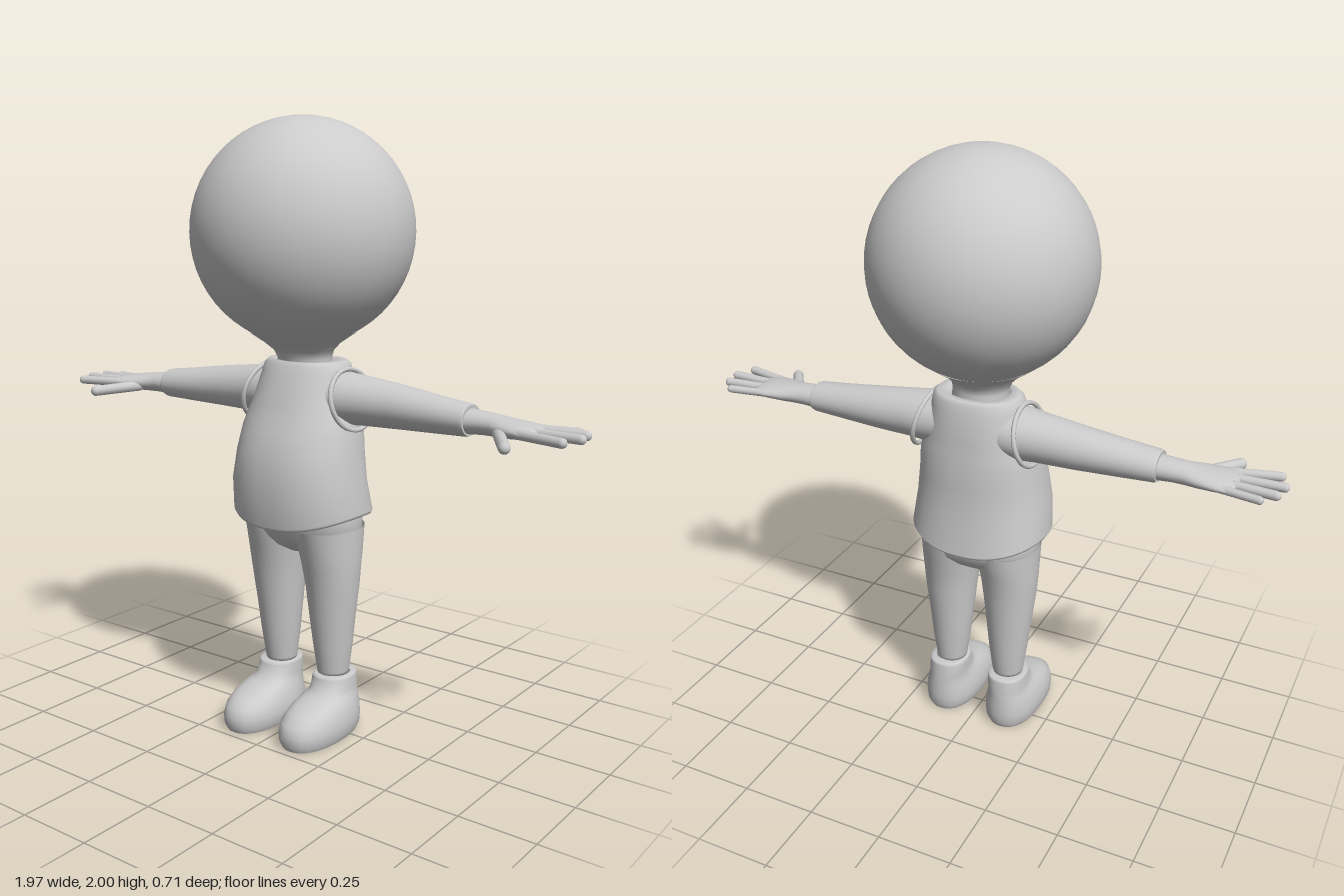
import * as THREE from 'three';

const material = new THREE.MeshStandardMaterial({ color: 0xcccccc, side: THREE.DoubleSide });

// Smooth skin over elliptical rings [position, centreA, centreB, radiusA, radiusB, droop].
// Axis 'y': A = x, B = z. Axis 'x': A = y, B = z. side = -1 mirrors across x.
function loft(name, axis, rings, { side = 1, power = 1, segments = 32 } = {}) {
  const positions = [], index = [];
  const round = v => Math.sign(v) * Math.abs(v) ** power;
  for (const [p, ca, cb, ra, rb, droop = 0] of rings) {
    for (let j = 0; j < segments; j++) {
      const t = j / segments * Math.PI * 2;
      const a = ca + ra * round(Math.cos(t)), b = cb + rb * round(Math.sin(t));
      const q = p - droop * Math.sin(t) ** 2;
      if (axis === 'y') positions.push(side * a, q, b);
      else positions.push(side * q, a, b);
    }
  }
  const flip = (axis === 'x') !== (side < 0);
  for (let i = 0; i < rings.length - 1; i++) {
    for (let j = 0; j < segments; j++) {
      const k = (j + 1) % segments;
      const a = i * segments + j, b = i * segments + k, c = a + segments, d = b + segments;
      if (flip) index.push(a, b, c, b, d, c);
      else index.push(a, c, b, b, c, d);
    }
  }
  const geometry = new THREE.BufferGeometry();
  geometry.setAttribute('position', new THREE.Float32BufferAttribute(positions, 3));
  geometry.setIndex(index);
  geometry.computeVertexNormals();
  const mesh = new THREE.Mesh(geometry, material);
  mesh.name = name;
  return mesh;
}

// Rounded finger between two points
function finger(name, from, to, radius, side) {
  const a = new THREE.Vector3(...from), b = new THREE.Vector3(...to);
  a.x *= side;
  b.x *= side;
  const dir = b.clone().sub(a);
  const mesh = new THREE.Mesh(new THREE.CapsuleGeometry(radius, dir.length() - radius, 5, 12), material);
  mesh.position.copy(a).add(b).multiplyScalar(0.5);
  mesh.quaternion.setFromUnitVectors(new THREE.Vector3(0, 1, 0), dir.normalize());
  mesh.name = name;
  return mesh;
}

function createArm(side) {
  const arm = new THREE.Group();
  arm.name = side > 0 ? 'leftArm' : 'rightArm';
  // Sleeve, with a cuff turned inward
  arm.add(loft('sleeve', 'x', [
    [0.08, 1.125, -0.028, 0.085, 0.1], [0.16, 1.122, -0.03, 0.084, 0.098],
    [0.22, 1.121, -0.033, 0.079, 0.086], [0.35, 1.115, -0.035, 0.07, 0.075],
    [0.48, 1.108, -0.03, 0.059, 0.067], [0.595, 1.103, -0.025, 0.05, 0.061],
    [0.605, 1.103, -0.025, 0.047, 0.058], [0.605, 1.103, -0.025, 0.047, 0.058],
    [0.605, 1.103, -0.025, 0.035, 0.045],
  ], { side }));
  // Armhole rim, leaning inward toward the shoulder
  const points = [];
  for (let i = 0; i < 32; i++) {
    const t = i / 32 * Math.PI * 2;
    const y = 1.12 + 0.095 * Math.sin(t);
    points.push(new THREE.Vector3(side * (0.176 - 0.023 * Math.sin(t)), y, -0.027 + 0.114 * Math.cos(t)));
  }
  const rim = new THREE.Mesh(new THREE.TubeGeometry(
    new THREE.CatmullRomCurve3(points, true), 48, 0.008, 8, true), material);
  rim.name = 'armholeRim';
  arm.add(rim);
  // Wrist and palm
  arm.add(loft('hand', 'x', [
    [0.58, 1.1, -0.025, 0.04, 0.05], [0.65, 1.1, -0.025, 0.035, 0.047],
    [0.69, 1.098, -0.023, 0.033, 0.05], [0.73, 1.096, -0.018, 0.03, 0.064],
    [0.78, 1.095, -0.015, 0.025, 0.073], [0.82, 1.094, -0.012, 0.02, 0.077],
    [0.84, 1.093, -0.012, 0.013, 0.07], [0.846, 1.093, -0.012, 0, 0],
  ], { side }));
  const fingers = [
    ['littleFinger', [0.79, 1.094, -0.07], [0.928, 1.094, -0.092], 0.013],
    ['ringFinger', [0.8, 1.096, -0.035], [0.967, 1.096, -0.047], 0.015],
    ['middleFinger', [0.8, 1.096, 0.006], [0.978, 1.096, 0.014], 0.015],
    ['indexFinger', [0.79, 1.094, 0.043], [0.952, 1.094, 0.083], 0.015],
    ['thumb', [0.715, 1.086, 0.015], [0.812, 1.074, 0.158], 0.018],
  ];
  for (const [name, from, to, r] of fingers) arm.add(finger(name, from, to, r, side));
  return arm;
}

function createLeg(side) {
  const leg = new THREE.Group();
  leg.name = side > 0 ? 'leftLeg' : 'rightLeg';
  leg.add(loft('trouserLeg', 'y', [
    [0.19, 0.109, -0.023, 0.04, 0.04], [0.195, 0.109, -0.023, 0.052, 0.052],
    [0.205, 0.109, -0.023, 0.054, 0.054], [0.3, 0.109, -0.021, 0.067, 0.067],
    [0.4, 0.109, -0.018, 0.078, 0.077], [0.5, 0.11, -0.016, 0.089, 0.09],
    [0.57, 0.108, -0.013, 0.096, 0.101], [0.62, 0.105, -0.013, 0.1, 0.115],
    [0.7, 0.1, -0.01, 0.106, 0.135],
  ], { side }));
  // Boot with a flat sole and a low rounded toe
  leg.add(loft('shoe', 'y', [
    [0, 0.117, 0.06, 0, 0], [0, 0.117, 0.06, 0.084, 0.164],
    [0, 0.117, 0.06, 0.084, 0.164], [0.02, 0.117, 0.06, 0.094, 0.174],
    [0.05, 0.117, 0.06, 0.097, 0.175], [0.08, 0.117, 0.054, 0.093, 0.169],
    [0.105, 0.117, 0.039, 0.085, 0.151], [0.122, 0.116, 0.018, 0.077, 0.13],
    [0.135, 0.115, -0.006, 0.071, 0.104], [0.15, 0.114, -0.022, 0.068, 0.087],
    [0.185, 0.113, -0.027, 0.067, 0.078], [0.195, 0.113, -0.027, 0.064, 0.075],
    [0.195, 0.113, -0.027, 0.05, 0.05],
  ], { side, power: 0.88 }));
  return leg;
}

export function createModel() {
  const model = new THREE.Group();
  model.name = 'figure';

  const head = new THREE.Mesh(new THREE.SphereGeometry(0.357, 40, 28), material);
  head.position.y = 1.643;
  head.name = 'head';
  model.add(head);

  model.add(loft('neck', 'y', [
    [1.2, 0, -0.015, 0.095, 0.085], [1.245, 0, -0.01, 0.092, 0.082],
    [1.27, 0, -0.005, 0.1, 0.093], [1.295, 0, 0, 0.125, 0.122], [1.33, 0, 0, 0.176, 0.176],
  ]));

  // Loose shirt: inside of the hem, outside, shoulders, neckline
  model.add(loft('shirt', 'y', [
    [0.83, 0, 0.005, 0.2, 0.16, 0.03], [0.757, 0, 0, 0.222, 0.176, 0.04],
    [0.75, 0, 0, 0.23, 0.184, 0.04], [0.76, 0, 0, 0.235, 0.19, 0.04],
    [0.86, 0, 0.018, 0.224, 0.186, 0.02], [0.95, 0, 0.012, 0.212, 0.177],
    [1.02, 0, 0, 0.204, 0.163], [1.06, 0, -0.006, 0.195, 0.151],
    [1.1, 0, -0.012, 0.179, 0.143], [1.16, 0, -0.02, 0.163, 0.13],
    [1.2, 0, -0.024, 0.154, 0.117], [1.226, 0, -0.027, 0.148, 0.109],
    [1.238, 0, -0.027, 0.135, 0.1], [1.24, 0, -0.02, 0.104, 0.09],
    [1.22, 0, -0.015, 0.09, 0.08],
  ], { power: 0.88, segments: 48 }));

  // Pelvis closing between the legs
  model.add(loft('hips', 'y', [
    [0.6, 0, -0.012, 0, 0], [0.607, 0, -0.012, 0.06, 0.055],
    [0.63, 0, -0.013, 0.14, 0.095], [0.66, 0, -0.014, 0.195, 0.122],
    [0.7, 0, -0.01, 0.205, 0.142], [0.75, 0, -0.005, 0.207, 0.15], [0.85, 0, 0, 0.19, 0.145],
  ], { power: 0.9 }));

  for (const side of [1, -1]) model.add(createArm(side), createLeg(side));
  return model;
}
